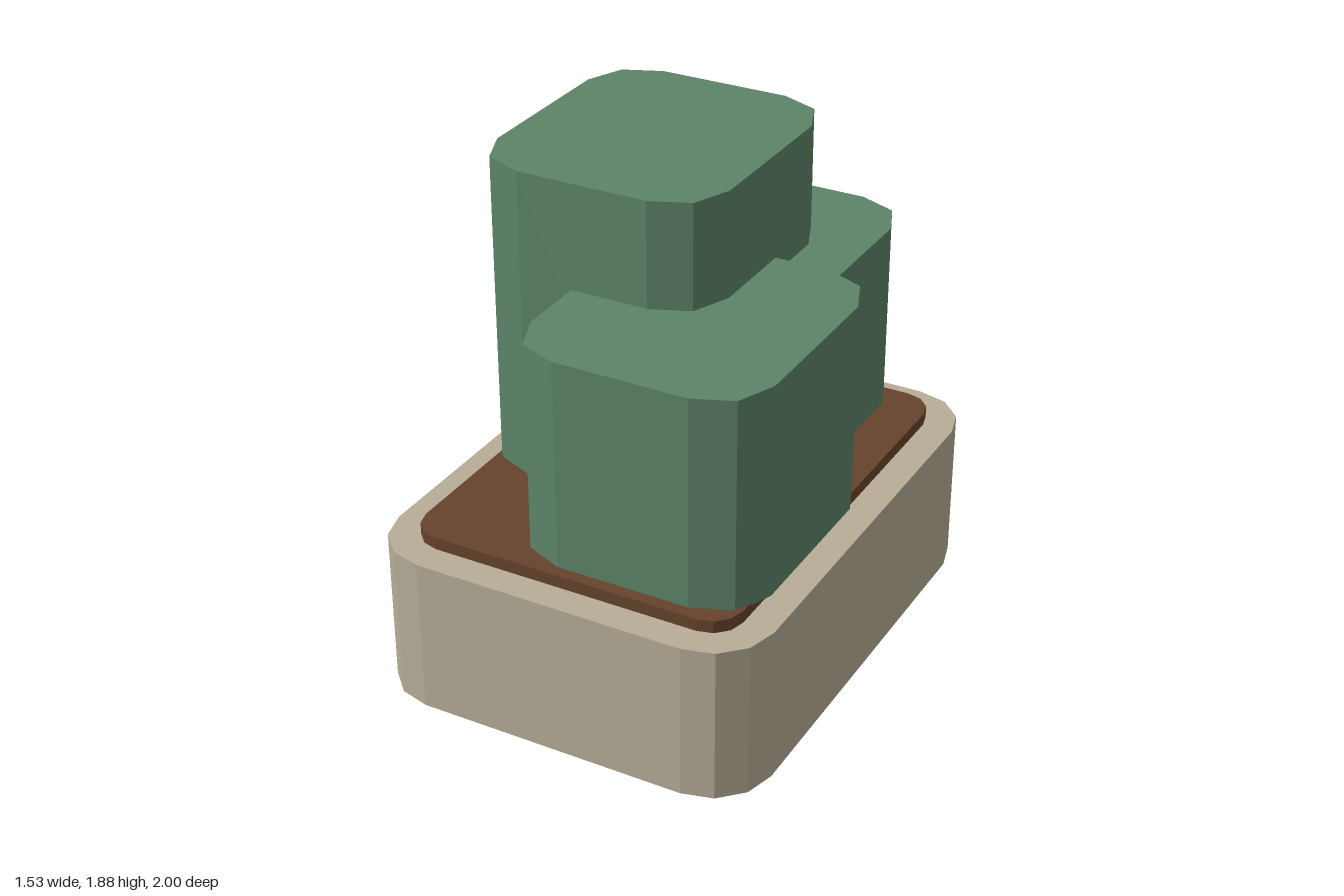
import * as THREE from 'three';

// Upright block with a rounded-rectangle footprint and faceted corners
function roundedBlock({ name, x, z, y, radius, segments, material }) {
  const hw = (x[1] - x[0]) / 2, hd = (z[1] - z[0]) / 2;
  const points = [];
  const corners = [[1, 1], [-1, 1], [-1, -1], [1, -1]];
  corners.forEach(([sx, sz], quarter) => {
    for (let i = 0; i <= segments; i++) {
      const a = (quarter + i / segments) * Math.PI / 2;
      points.push(new THREE.Vector2(
        sx * (hw - radius) + radius * Math.cos(a),
        sz * (hd - radius) + radius * Math.sin(a)));
    }
  });
  const geometry = new THREE.ExtrudeGeometry(new THREE.Shape(points), {
    depth: y[1] - y[0], bevelEnabled: false, steps: 1,
  });
  geometry.rotateX(-Math.PI / 2);
  const mesh = new THREE.Mesh(geometry, material);
  mesh.name = name;
  mesh.position.set((x[0] + x[1]) / 2, y[0], (z[0] + z[1]) / 2);
  return mesh;
}

export function createModel() {
  const stone = new THREE.MeshStandardMaterial({ color: 0xb7ad97 });
  stone.name = 'stone';
  const earth = new THREE.MeshStandardMaterial({ color: 0x66432d });
  earth.name = 'earth';
  const leaf = new THREE.MeshStandardMaterial({ color: 0x5d8468 });
  leaf.name = 'leaf';

  const model = new THREE.Group();
  model.name = 'planter';

  // Planter box and the soil slab on top of it
  model.add(
    roundedBlock({ name: 'planterBox', x: [-0.765, 0.765], z: [-1, 1], y: [0, 0.612], radius: 0.235, segments: 3, material: stone }),
    roundedBlock({ name: 'soil', x: [-0.645, 0.645], z: [-0.882, 0.882], y: [0.6, 0.66], radius: 0.118, segments: 3, material: earth }),
  );

  // Three overlapping clipped bushes
  const bushes = [
    ['tallBush', [-0.682, 0.255], [-0.708, 0.35], 1.885],
    ['frontBush', [-0.258, 0.68], [-0.224, 0.834], 1.475],
    ['backBush', [-0.468, 0.468], [-0.978, 0.08], 1.412],
  ];
  for (const [name, x, z, top] of bushes) {
    model.add(roundedBlock({ name, x, z, y: [0.65, top], radius: 0.21, segments: 2, material: leaf }));
  }
  return model;
}
